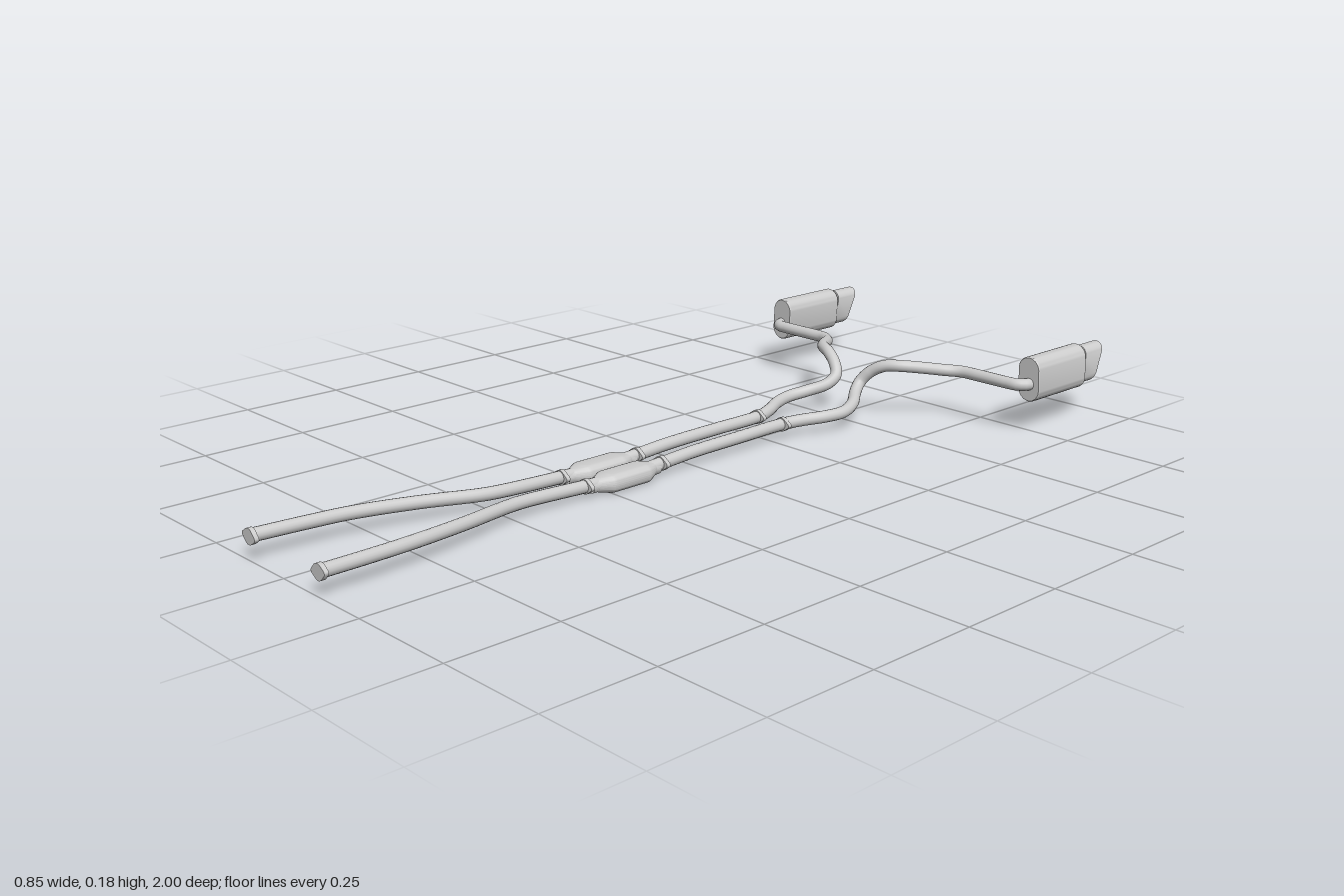
import * as THREE from 'three';
import { mergeVertices, toCreasedNormals } from 'three/addons/utils/BufferGeometryUtils.js';

const metal = new THREE.MeshStandardMaterial({ color: 0xcccccc });
const open = new THREE.MeshStandardMaterial({ color: 0xcccccc, side: THREE.DoubleSide });

function add(parent, name, geometry, material = metal) {
  const mesh = new THREE.Mesh(geometry, material);
  mesh.name = name;
  parent.add(mesh);
  return mesh;
}

// Loft of rounded-oval sections [z, halfWidth, halfHeight, slant]
function loft(sections, n = 32) {
  const pos = [], index = [];
  for (const [z, hw, hh, slant = 0] of sections) {
    const r = Math.min(hw, hh);
    for (let j = 0; j < n; j++) {
      const a = ((j + 0.5) / n) * Math.PI * 2, c = Math.cos(a), s = Math.sin(a);
      const x = (hw - r) * Math.sign(c) + r * c;
      const y = (hh - r) * Math.sign(s) + r * s;
      pos.push(x, y, z + slant * y);
    }
  }
  for (let i = 0; i < sections.length - 1; i++) {
    for (let j = 0; j < n; j++) {
      const a = i * n + j, b = i * n + (j + 1) % n;
      index.push(a, b, b + n, a, b + n, a + n);
    }
  }
  const g = new THREE.BufferGeometry();
  g.setAttribute('position', new THREE.Float32BufferAttribute(pos, 3));
  g.setIndex(index);
  return toCreasedNormals(mergeVertices(g, 1e-6), 0.5);
}

// Two-bolt flange plate: round middle tapering to rounded ears
function flange(halfWidth, radius, depth) {
  const ear = 0.006, d = halfWidth - ear;
  const t = Math.acos((radius - ear) / d);
  const shape = new THREE.Shape();
  shape.absarc(d, 0, ear, -t, t, false);
  shape.absarc(0, 0, radius, t, Math.PI - t, false);
  shape.absarc(-d, 0, ear, Math.PI - t, Math.PI + t, false);
  shape.absarc(0, 0, radius, Math.PI + t, Math.PI * 2 - t, false);
  const g = new THREE.ExtrudeGeometry(shape, { depth, bevelEnabled: false, curveSegments: 8 });
  return toCreasedNormals(g.translate(0, 0, -depth / 2), 0.6);
}

const pipePath = [
  [0.122, 0.051, 0.995], [0.116, 0.049, 0.88], [0.107, 0.047, 0.78], [0.08, 0.041, 0.64],
  [0.046, 0.034, 0.51], [0.04, 0.032, 0.46], [0.04, 0.025, 0.3], [0.04, 0.022, 0.2],
  [0.04, 0.027, 0.09], [0.04, 0.032, 0], [0.04, 0.034, -0.15], [0.04, 0.035, -0.29],
  [0.053, 0.037, -0.335], [0.078, 0.04, -0.39], [0.088, 0.043, -0.44], [0.072, 0.051, -0.49],
  [0.045, 0.066, -0.53], [0.039, 0.085, -0.553], [0.058, 0.11, -0.567], [0.09, 0.128, -0.58],
  [0.125, 0.131, -0.6], [0.16, 0.125, -0.644], [0.19, 0.118, -0.685], [0.22, 0.117, -0.705],
  [0.27, 0.117, -0.708], [0.35, 0.117, -0.708], [0.378, 0.117, -0.711], [0.393, 0.117, -0.725],
  [0.395, 0.117, -0.75],
];

function createSide(side) {
  const group = new THREE.Group();
  group.name = side > 0 ? 'leftExhaust' : 'rightExhaust';

  // Long bent pipe
  const points = pipePath.map(([x, y, z]) => new THREE.Vector3(x * side, y, z));
  const curve = new THREE.CatmullRomCurve3(points, false, 'centripetal');
  add(group, 'pipe', new THREE.TubeGeometry(curve, 220, 0.0142, 16));

  // Inlet flange
  const inlet = add(group, 'inletFlange', flange(0.023, 0.017, 0.01));
  inlet.position.set(0.121 * side, 0.05, 0.995);
  inlet.rotation.z = 0.12 * side;

  // Joint flanges along the straight run
  for (const [y, z] of [[0.025, 0.305], [0.027, 0.092], [0.035, -0.285]]) {
    add(group, 'jointFlange', flange(0.024, 0.0165, 0.01)).position.set(0.04 * side, y, z);
  }

  // Catalytic converter with tapered ends
  const converter = add(group, 'converter', loft([
    [-0.095, 0.015, 0.015], [-0.08, 0.016, 0.015], [-0.052, 0.033, 0.02], [-0.045, 0.034, 0.0205],
    [0.045, 0.034, 0.0205], [0.052, 0.033, 0.02], [0.08, 0.016, 0.015], [0.095, 0.015, 0.015],
  ]), open);
  converter.position.set(0.04 * side, 0.0215, 0.199);

  // Muffler, outlet and tip share a slight lean
  const rear = new THREE.Group();
  rear.name = 'rearMuffler';
  rear.position.set(0.394 * side, 0.128, 0);
  rear.rotation.z = 0.05 * side;
  group.add(rear);

  add(rear, 'muffler', loft([
    [-0.918, 0, 0], [-0.918, 0.028, 0.051], [-0.915, 0.03, 0.053],
    [-0.736, 0.03, 0.053], [-0.733, 0.028, 0.051], [-0.733, 0, 0],
  ]));

  const outlet = new THREE.CylinderGeometry(0.014, 0.014, 0.04, 20, 1, true);
  outlet.rotateX(Math.PI / 2);
  add(rear, 'outletPipe', outlet, open).position.z = -0.928;

  // Hollow oval tip with a slanted mouth
  add(rear, 'tailTip', loft([
    [-0.924, 0.013, 0.013, -0.18], [-0.926, 0.02, 0.042, -0.18], [-0.981, 0.02, 0.042, -0.42],
    [-0.981, 0.0235, 0.0455, -0.42], [-0.922, 0.0235, 0.0455, -0.18], [-0.922, 0.013, 0.013, -0.18],
  ]), open);

  return group;
}

export function createModel() {
  const model = new THREE.Group();
  model.name = 'dualExhaustSystem';
  for (const side of [1, -1]) model.add(createSide(side));
  return model;
}
